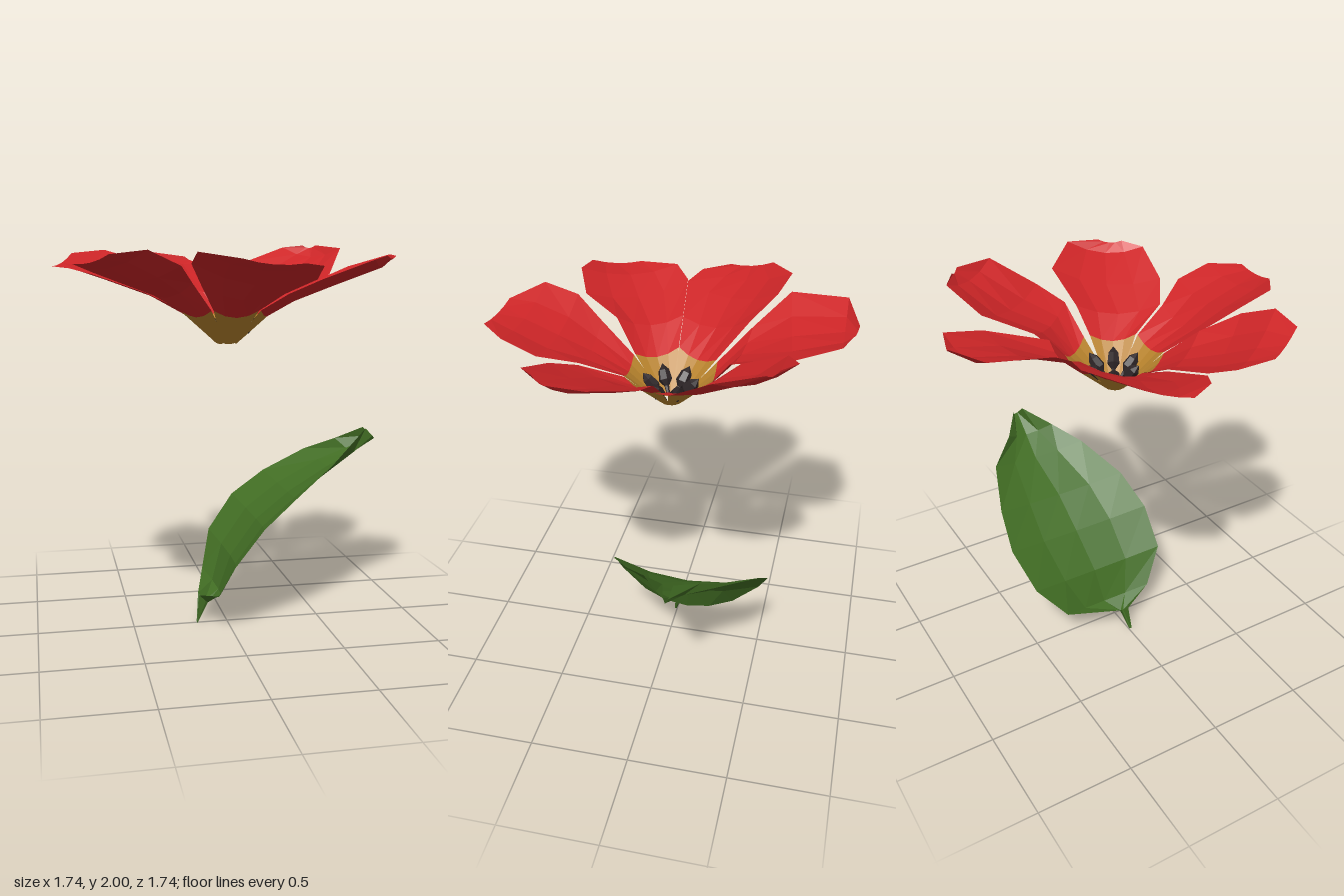
import * as THREE from 'three';

const flat = (name, color) => new THREE.MeshStandardMaterial({ name, color, flatShading: true, side: THREE.DoubleSide });
const red = flat('petal red', 0xcd2527);
const ochre = flat('petal base ochre', 0xb8832d);
const dark = flat('stamen dark', 0x2c2426);
const green = flat('leaf green', 0x426e24);

// Skin a list of cross-sections (each an array of Vector3) into a faceted sheet
function sheet(name, rows, material) {
  const cols = rows[0].length, index = [];
  for (let i = 0; i < rows.length - 1; i++) {
    for (let j = 0; j < cols - 1; j++) {
      const a = i * cols + j, b = a + cols;
      index.push(a, b, a + 1, b, b + 1, a + 1);
    }
  }
  const indexed = new THREE.BufferGeometry().setFromPoints(rows.flat());
  indexed.setIndex(index);
  const geometry = indexed.toNonIndexed();
  geometry.computeVertexNormals();
  const mesh = new THREE.Mesh(geometry, material);
  mesh.name = name;
  return mesh;
}

// Cupped cross-section between two edge points
function section(left, right, sag) {
  return [-1, -0.5, 0, 0.5, 1].map(s => {
    const p = left.clone().lerp(right, (s + 1) / 2);
    p.y -= sag * (1 - s * s);
    return p;
  });
}

// Section of the flower cup at a given radius, used where all petals are alike
function cupSection(degrees, radius, halfWidth, y, sag) {
  const a = THREE.MathUtils.degToRad(degrees);
  const out = new THREE.Vector3(Math.cos(a), 0, Math.sin(a)).multiplyScalar(radius).setY(y);
  const side = new THREE.Vector3(Math.sin(a), 0, -Math.cos(a)).multiplyScalar(halfWidth);
  return section(out.clone().sub(side), out.clone().add(side), sag);
}

// One petal: ochre base, then red sections given as left and right edge points
function petal(name, degrees, edges) {
  const group = new THREE.Group();
  group.name = name;
  const bottom = cupSection(degrees, 0.05, 0.04, 1.5, 0.01);
  const seam = cupSection(degrees, 0.21, 0.115, 1.665, 0.035);
  const sags = [0.05, 0.06, 0.05, 0.015];
  const blade = edges.map(([lx, ly, lz, rx, ry, rz], i) =>
    section(new THREE.Vector3(lx, ly, lz), new THREE.Vector3(rx, ry, rz), sags[i]));
  group.add(sheet('petalBase', [bottom, seam], ochre), sheet('petalBlade', [seam, ...blade], red));
  return group;
}

function createPetals() {
  const group = new THREE.Group();
  group.name = 'petals';
  group.add(
    petal('frontPetal', 88, [
      [-0.2, 1.79, 0.4, 0.2, 1.75, 0.4],
      [-0.27, 1.89, 0.54, 0.31, 1.82, 0.57],
      [-0.27, 1.94, 0.71, 0.29, 1.88, 0.74],
      [-0.1, 1.91, 0.84, 0.17, 1.89, 0.87]]),
    petal('frontLeftPetal', 28, [
      [0.22, 1.75, 0.4, 0.38, 1.77, 0],
      [0.36, 1.82, 0.49, 0.64, 1.88, 0],
      [0.6, 1.91, 0.53, 0.8, 1.94, 0.18],
      [0.69, 1.93, 0.45, 0.77, 1.93, 0.35]]),
    petal('backLeftPetal', -38, [
      [0.45, 1.77, -0.03, 0.14, 1.8, -0.36],
      [0.58, 1.84, -0.12, 0.23, 1.91, -0.58],
      [0.7, 1.98, -0.32, 0.46, 1.99, -0.65],
      [0.62, 2, -0.53, 0.56, 2, -0.58]]),
    petal('backPetal', -92, [
      [0.1, 1.77, -0.3, -0.23, 1.82, -0.36],
      [0.18, 1.86, -0.6, -0.39, 1.95, -0.52],
      [0.13, 1.92, -0.81, -0.33, 1.97, -0.8],
      [0.0, 1.92, -0.85, -0.08, 1.94, -0.87]]),
    petal('backRightPetal', -154, [
      [-0.27, 1.83, -0.34, -0.42, 1.75, 0.03],
      [-0.41, 1.92, -0.45, -0.68, 1.84, 0.06],
      [-0.58, 1.97, -0.5, -0.79, 1.87, 0],
      [-0.76, 1.95, -0.38, -0.87, 1.88, -0.14]]),
    petal('frontRightPetal', 148, [
      [-0.42, 1.76, 0.03, -0.23, 1.8, 0.33],
      [-0.68, 1.85, 0.06, -0.31, 1.88, 0.51],
      [-0.78, 1.89, 0.14, -0.47, 1.95, 0.58],
      [-0.78, 1.89, 0.34, -0.64, 1.93, 0.57]]));
  return group;
}

// Ring of six stamens leaning outwards
function createStamens() {
  const group = new THREE.Group();
  group.name = 'stamens';
  const profile = [[0, 0], [0.009, 0.005], [0.012, 0.045], [0.034, 0.075], [0.028, 0.125], [0, 0.16]]
    .map(([x, y]) => new THREE.Vector2(x, y));
  const geometry = new THREE.LatheGeometry(profile, 6);
  for (let i = 0; i < 6; i++) {
    const a = Math.PI / 2 + i * Math.PI / 3;
    const direction = new THREE.Vector3(Math.cos(a) * 0.65, 0.76, Math.sin(a) * 0.65).normalize();
    const stamen = new THREE.Mesh(geometry, dark);
    stamen.name = 'stamen';
    stamen.position.set(Math.cos(a) * 0.035 + 0.01, 1.51, Math.sin(a) * 0.035);
    stamen.quaternion.setFromUnitVectors(new THREE.Vector3(0, 1, 0), direction);
    group.add(stamen);
  }
  return group;
}

// Broad arching leaf: midrib x, midrib y, near edge z, far edge z, edge lift
function createLeaf() {
  const rows = [
    [-0.16, 0, 0.015, 0, 0.005],
    [-0.1, 0.1, 0, -0.04, 0.05],
    [-0.03, 0.15, 0.17, -0.34, 0.045],
    [0.04, 0.33, 0.28, -0.49, 0.05],
    [0.19, 0.52, 0.28, -0.55, 0.05],
    [0.37, 0.66, 0.23, -0.52, 0.05],
    [0.6, 0.79, 0.1, -0.44, 0.055],
    [0.74, 0.865, -0.02, -0.29, 0.06],
    [0.87, 0.94, -0.14, -0.19, 0.06],
  ].map(([x, y, near, far, lift]) => [-1, -0.5, 0, 0.5, 1].map(s => {
    const k = lift * s * s;
    return new THREE.Vector3(x - k, y + k, THREE.MathUtils.lerp(near, far, (s + 1) / 2));
  }));
  return sheet('leaf', rows, green);
}

export function createModel() {
  const model = new THREE.Group();
  model.name = 'flower';
  model.add(createPetals(), createStamens(), createLeaf());
  return model;
}
